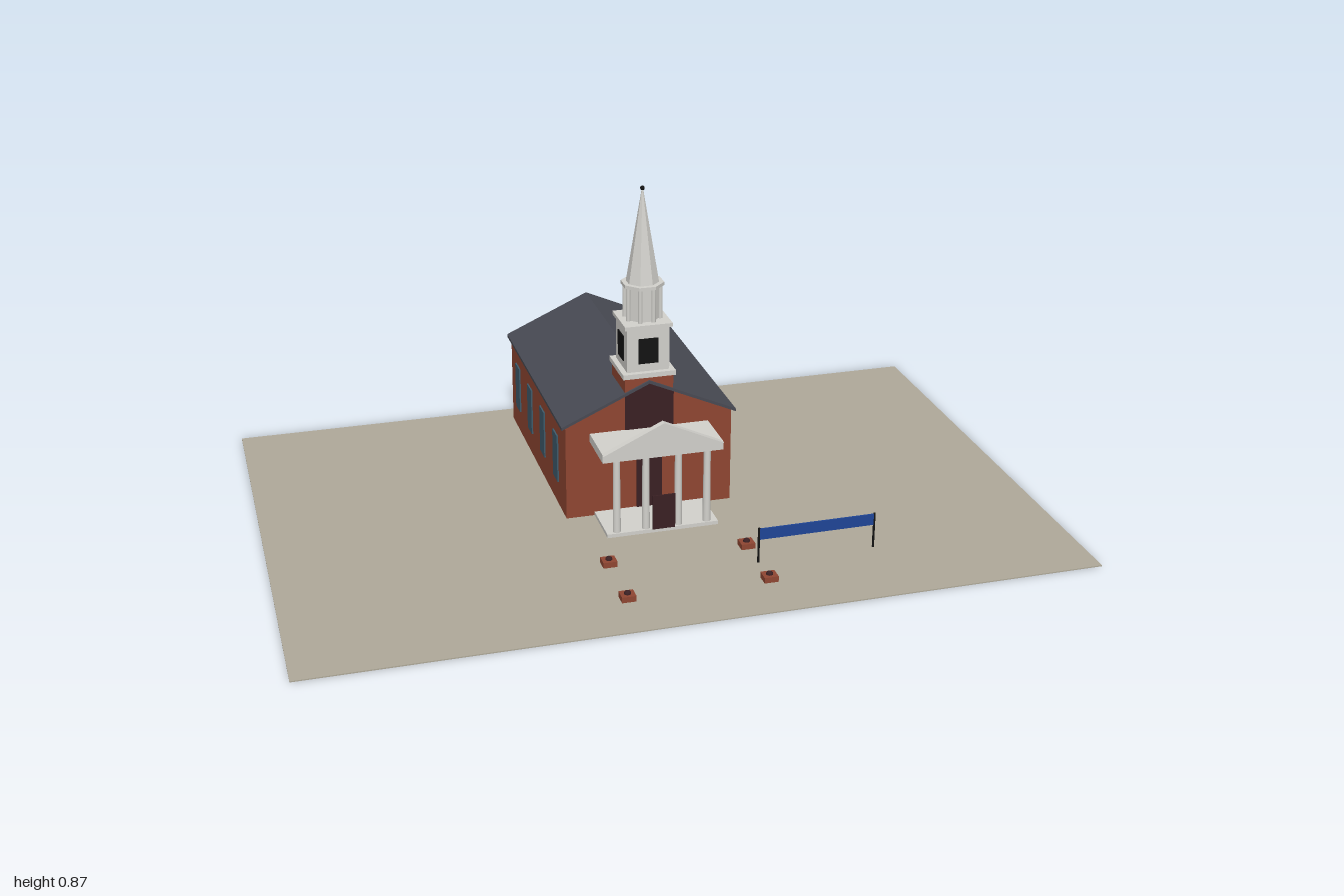
import * as THREE from 'three';

const paint = (name, color) => {
  const m = new THREE.MeshStandardMaterial({ color });
  m.name = name;
  return m;
};

export function createModel() {
  const model = new THREE.Group();
  model.name = 'church';
  const ground = paint('ground', 0xafa999), brick = paint('brick', 0x8f4632);
  const white = paint('white trim', 0xd2d1cc), slate = paint('slate roof', 0x484a53);
  const glass = paint('window glass', 0x3f5b6b), door = paint('dark wood', 0x3a2023);
  const black = paint('black', 0x131313), blue = paint('banner blue', 0x1f4596);

  const add = (name, geo, mat, x = 0, y = 0, z = 0) => {
    const mesh = new THREE.Mesh(geo, mat);
    mesh.name = name;
    mesh.position.set(x, y, z);
    model.add(mesh);
    return mesh;
  };
  // Box given by its ranges
  const box = (name, mat, x0, x1, y0, y1, z0, z1) => add(name,
    new THREE.BoxGeometry(x1 - x0, y1 - y0, z1 - z0), mat, (x0 + x1) / 2, (y0 + y1) / 2, (z0 + z1) / 2);
  // Square block centred on the tower axis
  const block = (name, mat, half, y0, y1) => box(name, mat, -half, half, y0, y1, -half, half);
  // Outline in x and y, extruded from z0 to z1
  const prism = (name, mat, points, z0, z1) => {
    const shape = new THREE.Shape(points.map(([x, y]) => new THREE.Vector2(x, y)));
    return add(name, new THREE.ExtrudeGeometry(shape, { depth: z1 - z0, bevelEnabled: false }), mat, 0, 0, z0);
  };
  // Faceted octagonal drum
  const octagon = (name, mat, rTop, rBottom, y0, y1) => {
    const geo = new THREE.CylinderGeometry(rTop, rBottom, y1 - y0, 8).toNonIndexed();
    geo.rotateY(Math.PI / 8);
    geo.computeVertexNormals();
    return add(name, geo, mat, 0, (y0 + y1) / 2, 0);
  };

  box('ground', ground, -1, 1, 0, 0.003, -0.667, 0.667);

  // Hall and gable roof
  prism('hall', brick, [[-0.223, 0.002], [0.223, 0.002], [0.223, 0.262], [0, 0.363], [-0.223, 0.262]], -0.603, 0.065);
  prism('roof', slate, [[-0.234, 0.265], [-0.234, 0.257], [0, 0.362], [0.234, 0.257], [0.234, 0.265], [0, 0.37]], -0.607, 0.07);
  prism('gablePanel', door, [[-0.065, 0.237], [0.065, 0.237], [0.065, 0.333], [0, 0.362], [-0.065, 0.333]], 0.065, 0.068);

  // Side windows
  for (const side of [-1, 1]) {
    for (let i = 0; i < 4; i++) {
      add('sideWindow', new THREE.BoxGeometry(0.006, 0.132, 0.052), glass, side * 0.224, 0.136, -0.045 - i * 0.156);
    }
  }

  // Portico
  box('porticoFloor', white, -0.148, 0.148, 0.002, 0.013, 0.065, 0.2);
  box('entablature', white, -0.159, 0.159, 0.215, 0.238, 0.065, 0.2);
  prism('pediment', white, [[-0.159, 0.236], [0.159, 0.236], [0, 0.31]], 0.189, 0.206);
  for (const x of [-0.12, -0.043, 0.043, 0.12]) {
    add('column', new THREE.CylinderGeometry(0.009, 0.0105, 0.202, 16), white, x, 0.114, 0.187);
  }
  box('door', door, -0.034, 0.034, 0.013, 0.212, 0.065, 0.069);
  box('doorPanel', door, -0.03, 0.03, 0.015, 0.11, 0.203, 0.207);

  // Tower and belfry
  block('towerBase', brick, 0.0645, 0.3, 0.381);
  block('towerCornice', white, 0.07, 0.379, 0.392);
  block('belfry', white, 0.056, 0.39, 0.512);
  block('belfryCornice', white, 0.063, 0.51, 0.52);
  for (let i = 0; i < 4; i++) {
    const a = i * Math.PI / 2;
    const louvre = add('belfryOpening', new THREE.BoxGeometry(0.052, 0.068, 0.004), black,
      Math.sin(a) * 0.057, 0.448, Math.cos(a) * 0.057);
    louvre.rotation.y = a;
  }

  // Octagonal lantern with corner posts, spire and finial
  octagon('lantern', white, 0.043, 0.043, 0.518, 0.61);
  for (let i = 0; i < 8; i++) {
    const a = (i + 0.5) * Math.PI / 4;
    add('lanternPost', new THREE.CylinderGeometry(0.006, 0.006, 0.09, 8), white,
      Math.sin(a) * 0.046, 0.565, Math.cos(a) * 0.046);
  }
  octagon('lanternCornice', white, 0.056, 0.056, 0.609, 0.618);
  octagon('spire', white, 0.002, 0.043, 0.617, 0.862);
  add('finial', new THREE.SphereGeometry(0.006, 12, 8), black, 0, 0.865, 0);

  // Banner on two posts
  for (const x of [0.182, 0.488]) {
    add('bannerPost', new THREE.CylinderGeometry(0.003, 0.003, 0.098, 8), black, x, 0.049, 0.423);
  }
  box('banner', blue, 0.182, 0.488, 0.066, 0.096, 0.421, 0.425);

  // Brick planters in front
  for (const x of [-0.18, 0.18]) {
    for (const z of [0.336, 0.514]) {
      box('planter', brick, x - 0.018, x + 0.018, 0.002, 0.018, z - 0.017, z + 0.017);
      add('planterTop', new THREE.SphereGeometry(0.009, 10, 8), door, x, 0.018, z);
    }
  }
  return model;
}
